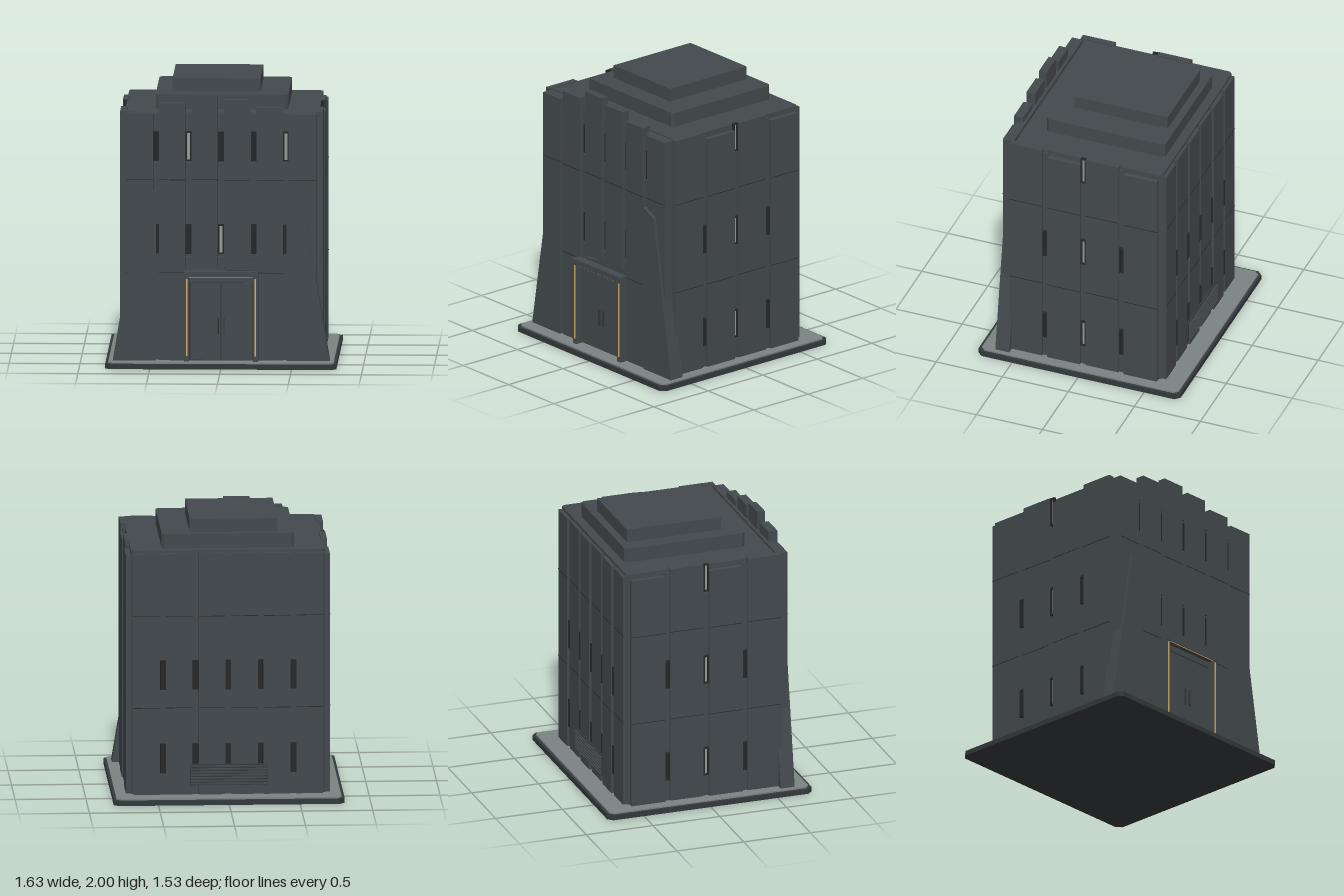
import * as THREE from 'three';

const mat = (name, hex) => {
  const m = new THREE.MeshStandardMaterial({ color: hex });
  m.name = name;
  return m;
};

export function createModel() {
  const wall = mat('wall slate', 0x43494d);
  const trim = mat('dark trim', 0x33383b);
  const paving = mat('pale paving', 0x7a8481);
  const frame = mat('window frame', 0x25282a);
  const glass = mat('pale glass', 0x929a97);
  const gold = mat('gold light', 0xd9a860);

  const model = new THREE.Group();
  model.name = 'towerBuilding';

  const group = (name) => {
    const g = new THREE.Group();
    g.name = name;
    model.add(g);
    return g;
  };

  // Box given by its limits on each axis
  const box = (parent, name, m, [x0, x1], [y0, y1], [z0, z1]) => {
    const mesh = new THREE.Mesh(new THREE.BoxGeometry(x1 - x0, y1 - y0, z1 - z0), m);
    mesh.position.set((x0 + x1) / 2, (y0 + y1) / 2, (z0 + z1) / 2);
    mesh.name = name;
    parent.add(mesh);
    return mesh;
  };

  // Upright block with cut vertical corners
  const block = (name, m, [x0, x1], [y0, y1], [z0, z1], c) => {
    const pts = [[x0 + c, z0], [x1 - c, z0], [x1, z0 + c], [x1, z1 - c],
      [x1 - c, z1], [x0 + c, z1], [x0, z1 - c], [x0, z0 + c]];
    const shape = new THREE.Shape(pts.map(([x, z]) => new THREE.Vector2(x, -z)));
    const geo = new THREE.ExtrudeGeometry(shape, { depth: y1 - y0, bevelEnabled: false });
    geo.rotateX(-Math.PI / 2);
    const mesh = new THREE.Mesh(geo, m);
    mesh.position.y = y0;
    mesh.name = name;
    model.add(mesh);
  };

  // Plinth, core and stepped roof
  block('plinth', trim, [-0.815, 0.815], [0, 0.036], [-0.765, 0.765], 0.035);
  block('plinthPaving', paving, [-0.795, 0.795], [0.036, 0.046], [-0.745, 0.745], 0.03);
  block('core', wall, [-0.685, 0.685], [0.04, 1.8], [-0.585, 0.53], 0.02);
  block('roofStep', wall, [-0.47, 0.465], [1.8, 1.905], [-0.52, 0.38], 0.02);
  box(model, 'roofCap', wall, [-0.355, 0.265], [1.905, 2], [-0.465, 0.24]);

  // Slit window in local wall space: u across, depth outward along z
  const slit = (g, u, y0, z, lit) => {
    const y1 = y0 + 0.21;
    for (const s of [-1, 1]) {
      const a = u + s * 0.015;
      box(g, 'slitJamb', frame, [a - 0.005, a + 0.005], [y0, y1], [z, z + 0.022]);
    }
    for (const y of [y0, y1 - 0.01])
      box(g, 'slitSill', frame, [u - 0.02, u + 0.02], [y, y + 0.01], [z, z + 0.02]);
    box(g, 'slitGlass', lit ? glass : frame, [u - 0.01, u + 0.01], [y0 + 0.01, y1 - 0.01], [z, z + 0.008]);
  };

  // Horizontal panel joint lines
  const joints = (g, u, bottom, z) => {
    for (const y of [0.67, 1.33])
      if (y > bottom) box(g, 'panelJoint', frame, u, [y - 0.002, y + 0.002], [z - 0.002, z + 0.002]);
  };

  // Front wall: backing slab and uneven tall panels
  const front = group('frontWall');
  box(front, 'frontBacking', wall, [-0.67, 0.67], [0.045, 1.8], [0.545, 0.58]);
  const frontPanels = [
    [-0.67, -0.48, 0.045, 1.8, 0.625], [-0.44, -0.255, 0.045, 1.875, 0.632],
    [-0.21, -0.025, 0.71, 1.935, 0.622], [0.02, 0.205, 0.71, 1.9, 0.628],
    [0.25, 0.435, 0.045, 1.845, 0.632], [0.475, 0.67, 0.045, 1.8, 0.625],
  ];
  for (const [a, b, y0, y1, z] of frontPanels) {
    box(front, 'frontPanel', wall, [a, b], [y0, y1], [0.565, z]);
    joints(front, [a, b], y0, z);
  }
  const frontSeams = [-0.46, -0.232, -0.002, 0.228, 0.455];
  frontSeams.forEach((u, i) => {
    box(front, 'seamStrip', wall, [u - 0.022, u + 0.022], [0.045, 0.78], [0.575, 0.605]);
    box(front, 'seamStrip', wall, [u - 0.022, u + 0.022], [1.03, 1.45], [0.575, 0.605]);
    box(front, 'seamStrip', wall, [u - 0.022, u + 0.022], [1.69, 1.8], [0.575, 0.605]);
    slit(front, u, 1.46, 0.58, i === 1 || i === 4);
    slit(front, u, 0.8, 0.58, i === 2);
  });

  // Side walls, built facing z and turned to face +x and -x
  const sideWall = (name, sign) => {
    const g = group(name);
    g.rotation.y = sign * Math.PI / 2;
    const panels = [[0.31, 0.56, 1.81, 0.715], [0.022, 0.272, 1.76, 0.72],
      [-0.268, -0.018, 1.81, 0.713], [-0.56, -0.308, 1.76, 0.72]];
    // World z maps to local u with the sign flipped on the +x side
    const span = (a, b) => (sign > 0 ? [-b, -a] : [a, b]);
    for (const [a, b, top, d] of panels) {
      box(g, 'sidePanel', wall, span(a, b), [0.045, top], [0.67, d]);
      joints(g, span(a, b), 0, d);
    }
    for (const z of [0.291, 0.002, -0.288]) {
      const u = -sign * z;
      const strips = z === 0.002 ? [[0.045, 0.19], [0.42, 0.89], [1.12, 1.59]]
        : [[0.045, 0.19], [0.42, 0.89], [1.12, 1.78]];
      for (const y of strips)
        box(g, 'seamStrip', wall, [u - 0.02, u + 0.02], y, [0.67, 0.7]);
      for (const y of [0.2, 0.9]) slit(g, u, y, 0.686, z === 0.002);
      if (z === 0.002) slit(g, u, 1.6, 0.686, true);
    }
  };
  sideWall('leftWall', 1);
  sideWall('rightWall', -1);

  // Back wall, built facing z and turned round
  const back = group('backWall');
  back.rotation.y = Math.PI;
  const edges = [-0.69, -0.46, -0.23, 0, 0.23, 0.46, 0.69];
  for (let i = 0; i < 6; i++) {
    const u = [edges[i] + 0.022, edges[i + 1] - 0.022];
    const d = i % 2 ? 0.606 : 0.612;
    box(back, 'backPanel', wall, u, [0.045, 1.78], [0.57, d]);
    joints(back, u, 0, d);
  }
  for (const u of edges.slice(1, 6)) {
    for (const y of [[0.045, 0.19], [0.42, 0.79], [1.02, 1.77]])
      box(back, 'seamStrip', wall, [u - 0.022, u + 0.022], y, [0.57, 0.595]);
    slit(back, u, 0.2, 0.586, false);
    slit(back, u, 0.8, 0.586, false);
  }

  // Back vent with slats
  const vent = group('backVent');
  box(vent, 'ventPlate', trim, [-0.275, 0.27], [0.115, 0.265], [-0.625, -0.6]);
  for (let i = 0; i < 7; i++) {
    const y = 0.122 + i * 0.021;
    box(vent, 'ventSlat', wall, [-0.27, 0.265], [y, y + 0.01], [-0.637, -0.62]);
  }

  // Sloping front buttresses
  for (const s of [-1, 1]) {
    const pts = [[0.765, 0.045], [0.57, 1.21], [0.46, 1.26], [0.46, 0.045]];
    const shape = new THREE.Shape(pts.map(([x, y]) => new THREE.Vector2(s * x, y)));
    const mesh = new THREE.Mesh(new THREE.ExtrudeGeometry(shape, { depth: 0.105, bevelEnabled: false }), wall);
    mesh.position.z = 0.54;
    mesh.name = s > 0 ? 'leftButtress' : 'rightButtress';
    model.add(mesh);
  }

  // Entrance: surround, double door, handles and light strips
  const door = group('entrance');
  box(door, 'doorBacking', trim, [-0.255, 0.255], [0.045, 0.685], [0.57, 0.632]);
  box(door, 'lintel', wall, [-0.262, 0.262], [0.645, 0.685], [0.57, 0.695]);
  box(door, 'transom', wall, [-0.225, 0.225], [0.602, 0.645], [0.6, 0.645]);
  box(door, 'lintelLight', gold, [-0.225, 0.225], [0.641, 0.646], [0.683, 0.69]);
  for (const s of [-1, 1]) {
    const span = (a, b) => (s > 0 ? [a, b] : [-b, -a]);
    box(door, 'doorJamb', wall, span(0.225, 0.262), [0.045, 0.645], [0.57, 0.69]);
    box(door, 'jambLight', gold, span(0.236, 0.248), [0.085, 0.635], [0.687, 0.694]);
    box(door, 'doorLeaf', wall, span(0.003, 0.218), [0.052, 0.598], [0.6, 0.642]);
    box(door, 'doorHandle', trim, span(0.017, 0.025), [0.235, 0.355], [0.64, 0.656]);
  }

  return model;
}
